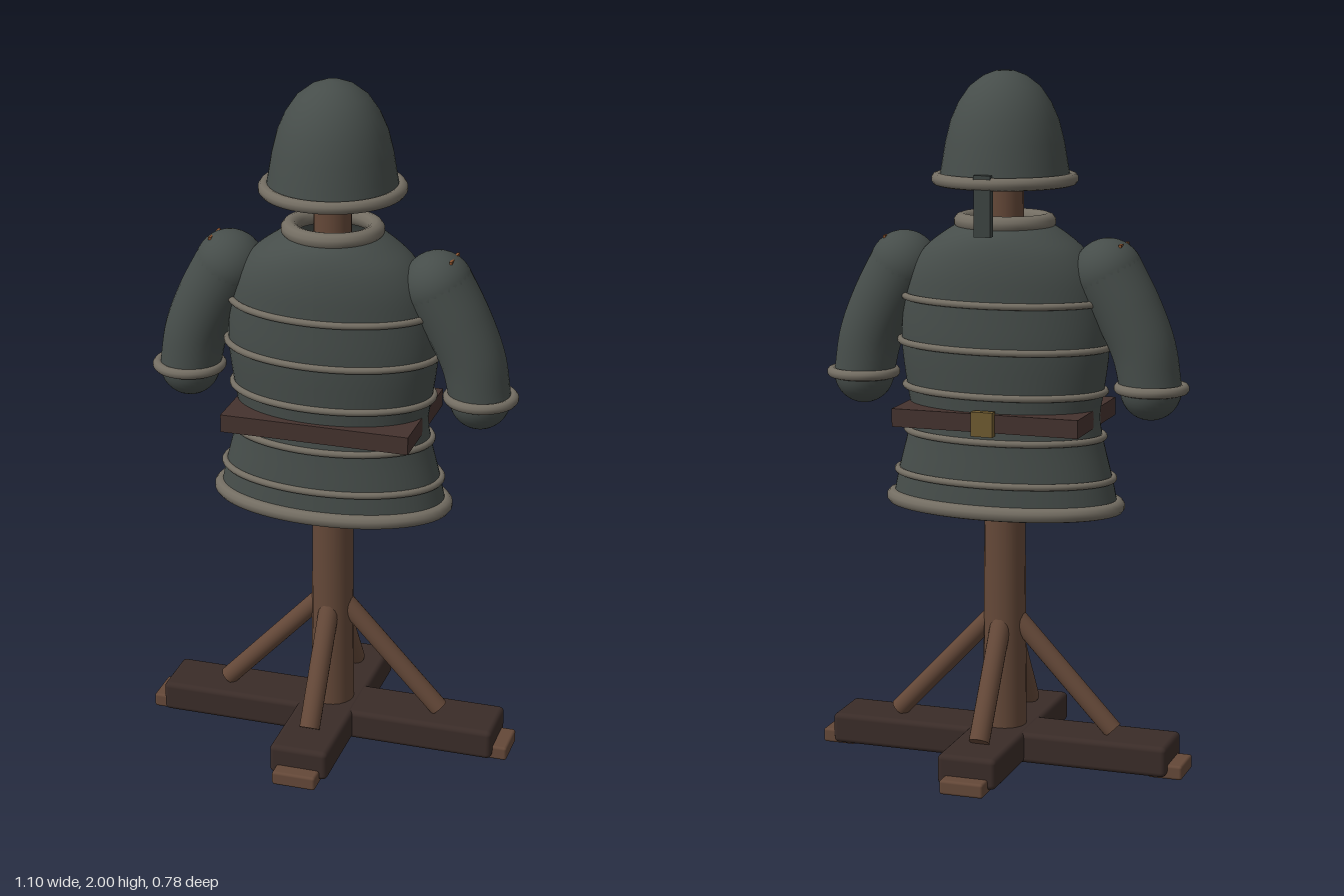
import * as THREE from 'three';
import { RoundedBoxGeometry } from 'three/addons/geometries/RoundedBoxGeometry.js';

const material = (color, side = THREE.FrontSide) => new THREE.MeshStandardMaterial({ color, side });
const V = (x, y, z = 0) => new THREE.Vector3(x, y, z);

export function createModel() {
  const model = new THREE.Group();
  const cloth = material(0x464d4a, THREE.DoubleSide);
  const trim = material(0x736d62);
  const wood = material(0x644838);
  const darkWood = material(0x3a2c28);
  const leather = material(0x44322e);
  const brass = material(0x6e5a30);
  const copper = material(0x85502e);
  const iron = material(0x3c4341);

  const add = (name, geometry, mat, x = 0, y = 0, z = 0, parent = model) => {
    const mesh = new THREE.Mesh(geometry, mat);
    mesh.name = name;
    mesh.position.set(x, y, z);
    parent.add(mesh);
    return mesh;
  };
  // round bar between two points
  const bar = (name, a, b, r0, r1, mat) => {
    const mesh = add(name, new THREE.CylinderGeometry(r1, r0, a.distanceTo(b), 20), mat);
    mesh.position.copy(a).add(b).multiplyScalar(0.5);
    mesh.quaternion.setFromUnitVectors(V(0, 1), b.clone().sub(a).normalize());
    return mesh;
  };
  // rope-like trim running round an ellipse
  const ring = (name, rx, rz, y, tube, x = 0, parent = model) => {
    const pts = [];
    for (let i = 0; i < 32; i++) {
      const a = (i / 32) * Math.PI * 2;
      pts.push(V(Math.cos(a) * rx, 0, Math.sin(a) * rz));
    }
    const path = new THREE.CatmullRomCurve3(pts, true);
    return add(name, new THREE.TubeGeometry(path, 64, tube, 10, true), trim, x, y, 0, parent);
  };

  // crossed base beams with feet
  add('baseBeamX', new RoundedBoxGeometry(1.02, 0.09, 0.174, 3, 0.015), darkWood, 0, 0.055, 0);
  add('baseBeamZ', new RoundedBoxGeometry(0.174, 0.09, 0.69, 3, 0.015), darkWood, 0, 0.056, 0);
  for (const s of [-1, 1]) {
    add('footX', new RoundedBoxGeometry(0.1, 0.042, 0.122, 2, 0.008), wood, s * 0.502, 0.021, 0);
    add('footZ', new RoundedBoxGeometry(0.13, 0.042, 0.1, 2, 0.008), wood, 0, 0.021, s * 0.339);
  }

  // post and its four braces
  bar('post', V(0, 0.05), V(0, 1.8), 0.064, 0.052, wood);
  for (const s of [-1, 1]) {
    bar('braceX', V(s * 0.33, 0.11), V(s * 0.03, 0.43), 0.028, 0.028, wood);
    bar('braceZ', V(0, 0.11, s * 0.23), V(0, 0.42, s * 0.03), 0.03, 0.03, wood);
  }

  // tunic: rows of [height, half width, half depth]
  const rows = [
    [0.77, 0.335, 0.187], [0.85, 0.318, 0.182], [0.97, 0.288, 0.172], [1.03, 0.28, 0.17], [1.1, 0.291, 0.176],
    [1.23, 0.306, 0.186], [1.36, 0.295, 0.184], [1.44, 0.272, 0.181], [1.5, 0.232, 0.17], [1.545, 0.175, 0.15], [1.575, 0.125, 0.12],
  ];
  const profile = new THREE.CatmullRomCurve3(rows.map((r) => V(r[1], r[0], r[2]))).getPoints(40);
  const tunic = new THREE.CylinderGeometry(1, 1, 1, 64, 40, true);
  const pos = tunic.attributes.position;
  for (let i = 0; i < pos.count; i++) {
    const p = profile[Math.round((pos.getY(i) + 0.5) * 40)];
    pos.setXYZ(i, pos.getX(i) * p.x, p.y, pos.getZ(i) * p.z);
  }
  tunic.computeVertexNormals();
  add('tunic', tunic, cloth);

  // hem, collar and the bands between
  ring('hem', 0.335, 0.186, 0.77, 0.021);
  ring('collar', 0.122, 0.115, 1.577, 0.024);
  for (const i of [1, 2, 4, 5, 6]) ring('tunicBand', rows[i][1] + 0.004, rows[i][2] + 0.003, rows[i][0], 0.01);

  // belt and buckle
  add('belt', new THREE.BoxGeometry(0.55, 0.052, 0.374), leather, 0, 1.028, 0);
  add('buckle', new THREE.BoxGeometry(0.064, 0.07, 0.025), brass, 0, 1.028, -0.194);

  // curved padded sleeves with rounded ends
  for (const s of [-1, 1]) {
    const arm = new THREE.Group();
    arm.name = s > 0 ? 'leftArm' : 'rightArm';
    model.add(arm);
    const points = [V(s * 0.305, 1.44), V(s * 0.365, 1.335), V(s * 0.41, 1.23), V(s * 0.432, 1.12)];
    const curve = new THREE.CatmullRomCurve3(points);
    const sleeve = new THREE.TubeGeometry(curve, 24, 1, 28, false);
    const sp = sleeve.attributes.position;
    for (let i = 0; i < sp.count; i++) {
      const t = Math.floor(i / 29) / 24;
      const c = curve.getPointAt(t);
      const v = V(sp.getX(i), sp.getY(i), sp.getZ(i)).sub(c).multiplyScalar(0.1 - 0.013 * t).add(c);
      sp.setXYZ(i, v.x, v.y, v.z);
    }
    add('sleeve', sleeve, cloth, 0, 0, 0, arm);
    add('shoulder', new THREE.SphereGeometry(0.1, 32, 20), cloth, s * 0.305, 1.44, 0, arm);
    add('sleeveEnd', new THREE.SphereGeometry(0.087, 32, 20), cloth, s * 0.432, 1.118, 0, arm);
    ring('cuff', 0.092, 0.09, 1.122, 0.015, s * 0.434, arm);
    for (const z of [-0.03, 0.03]) {
      add('stitch', new THREE.BoxGeometry(0.008, 0.008, 0.024), copper, s * 0.35, 1.523, z, arm);
    }
  }

  // open domed helmet with rim and face guard
  const dome = [[0.185, 1.7], [0.178, 1.74], [0.168, 1.8], [0.153, 1.86], [0.131, 1.91], [0.1, 1.955], [0.06, 1.985], [0.025, 1.998], [0, 2]];
  add('helmet', new THREE.LatheGeometry(dome.map((p) => new THREE.Vector2(...p)), 48), cloth);
  ring('helmetRim', 0.19, 0.19, 1.697, 0.018);
  add('faceGuard', new THREE.BoxGeometry(0.048, 0.17, 0.026), iron, 0, 1.637, -0.187);

  return model;
}
